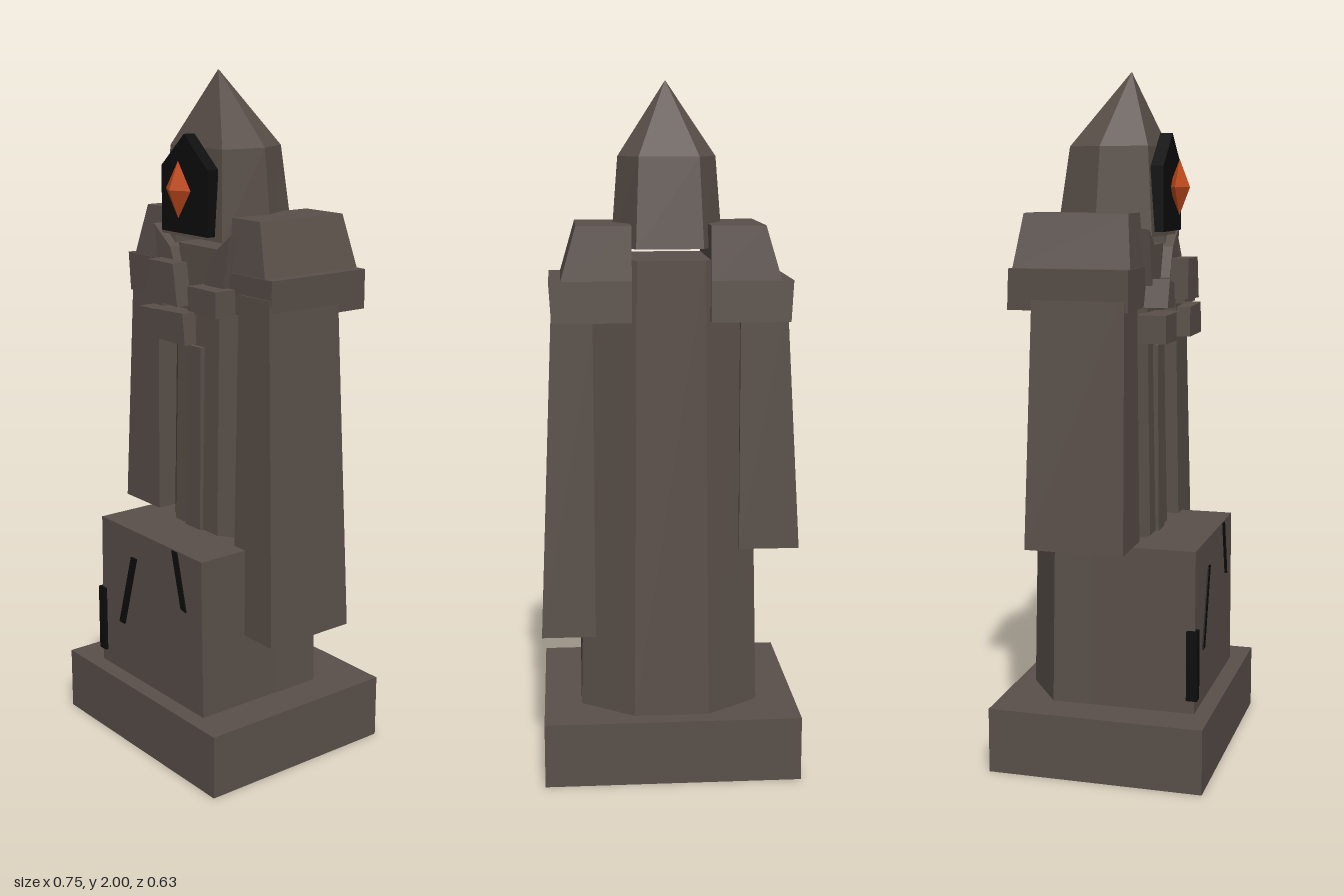
import * as THREE from 'three';

const mat = (name, color) => {
  const m = new THREE.MeshStandardMaterial({ color, flatShading: true });
  m.name = name;
  return m;
};

// Rectangle ring at height y, counter-clockwise seen from above
const rect = (y, x0, x1, z0, z1) => [[x1, y, z1], [x1, y, z0], [x0, y, z0], [x0, y, z1]];

// Octagon ring with flat front and back
const octagon = (y, rx, rz, cz) => Array.from({ length: 8 }, (_, i) => {
  const a = (i + 0.5) * Math.PI / 4, k = 1 / Math.cos(Math.PI / 8);
  return [Math.cos(a) * rx * k, y, cz - Math.sin(a) * rz * k];
});

// Capped solid through a stack of rings, bottom to top
function loft(rings) {
  const out = [], n = rings[0].length, tri = (...p) => p.forEach(q => out.push(...q));
  for (let r = 0; r < rings.length - 1; r++) {
    for (let i = 0; i < n; i++) {
      const j = (i + 1) % n, lo = rings[r], hi = rings[r + 1];
      tri(lo[i], lo[j], hi[j]);
      tri(lo[i], hi[j], hi[i]);
    }
  }
  const bottom = rings[0], top = rings[rings.length - 1];
  for (let i = 1; i < n - 1; i++) {
    tri(bottom[0], bottom[i + 1], bottom[i]);
    tri(top[0], top[i], top[i + 1]);
  }
  const g = new THREE.BufferGeometry();
  g.setAttribute('position', new THREE.Float32BufferAttribute(out, 3));
  g.computeVertexNormals();
  return g;
}

// Front-facing outline extruded from z0 to z1
function plate(points, z0, z1) {
  const shape = new THREE.Shape(points.map(p => new THREE.Vector2(...p)));
  return new THREE.ExtrudeGeometry(shape, { depth: z1 - z0, bevelEnabled: false }).translate(0, 0, z0);
}

export function createModel() {
  const group = new THREE.Group();
  const stone = mat('stone', 0x5a504a);
  const black = mat('black', 0x0d0d0d);
  const ember = mat('ember', 0xc44c1d);
  const add = (name, geometry, material = stone) => {
    const m = new THREE.Mesh(geometry, material);
    m.name = name;
    group.add(m);
    return m;
  };

  // Plinth, front block and robed body
  add('plinth', loft([rect(0, -0.375, 0.37, -0.315, 0.315), rect(0.19, -0.375, 0.37, -0.315, 0.315)]));
  add('frontBlock', loft([rect(0.19, -0.26, 0.257, -0.035, 0.266), rect(0.665, -0.253, 0.25, -0.035, 0.266)]));
  add('body', loft([octagon(0.19, 0.26, 0.183, -0.08), octagon(1.51, 0.23, 0.158, -0.078)]));
  add('frontStrip', loft([rect(0.66, -0.04, 0.032, 0.05, 0.105), rect(1.22, -0.04, 0.032, 0.05, 0.1)]));

  // Hanging sleeves of unequal length
  add('shortSleeve', loft([rect(0.67, -0.375, -0.2, -0.2, 0.088), rect(1.4, -0.333, -0.2, -0.185, 0.08)]));
  add('longSleeve', loft([rect(0.405, 0.2, 0.375, -0.18, 0.112), rect(1.4, 0.2, 0.333, -0.155, 0.095)]));

  // Shoulders: a band with a sloped cap above
  for (const s of [-1, 1]) {
    const span = (y, a, b, z0, z1) => rect(y, Math.min(s * a, s * b), Math.max(s * a, s * b), z0, z1);
    add('shoulderBand', loft([span(1.34, 0.11, 0.333, -0.257, 0.09), span(1.455, 0.11, 0.34, -0.25, 0.092)]));
    add('shoulderCap', loft([span(1.45, 0.11, 0.308, -0.25, 0.09), span(1.605, 0.11, 0.263, -0.23, 0.072)]));

    // Collar flap
    const flap = [[0.18, 1.56], [0.1, 1.5], [0.06, 1.4], [0.15, 1.4]].map(([x, y]) => [s * x, y]);
    add('collarFlap', plate(flap, 0.07, 0.11));
  }

  // Broken chest blocks
  add('chestTop', plate([[-0.085, 1.36], [0.055, 1.355], [0.035, 1.475], [-0.085, 1.475]], 0.15, 0.2));
  add('chestMiddle', plate([[-0.06, 1.25], [0.09, 1.25], [0.08, 1.34], [-0.055, 1.335]], 0.16, 0.2));
  add('chestLow', plate([[-0.185, 1.24], [-0.01, 1.235], [-0.01, 1.32], [-0.185, 1.32]], 0.07, 0.16));
  add('chestRight', plate([[-0.165, 1.34], [-0.07, 1.335], [-0.07, 1.4], [-0.14, 1.42]], 0.07, 0.16));
  add('chestLeft', plate([[0.05, 1.335], [0.18, 1.335], [0.18, 1.41], [0.05, 1.41]], 0.07, 0.16));

  // Pointed six-sided hood
  const hoodRing = (y, f, fz, w, wz, b, bz) =>
    [[f, y, fz], [w, y, wz], [b, y, bz], [-b, y, bz], [-w, y, wz], [-f, y, fz]];
  add('hood', loft([
    hoodRing(1.537, 0.143, 0.108, 0.16, -0.055, 0.095, -0.187),
    hoodRing(1.79, 0.12, 0.09, 0.14, -0.045, 0.085, -0.15),
    hoodRing(2, 0.001, 0.011, 0.001, 0.01, 0.001, 0.009),
  ]));

  // Dark face opening and glowing gem
  add('faceOpening', plate([[-0.108, 1.55], [0.108, 1.55], [0.108, 1.735], [0, 1.828], [-0.108, 1.735]], 0.095, 0.132), black);
  const gem = add('gem', new THREE.OctahedronGeometry(1), ember);
  gem.scale.set(0.058, 0.08, 0.031);
  gem.position.set(0, 1.675, 0.153);

  // Cracks in the front block
  add('crack', plate([[-0.163, 0.35], [-0.135, 0.35], [-0.067, 0.58], [-0.095, 0.58]], 0.262, 0.27), black);
  add('crack', plate([[0.155, 0.495], [0.18, 0.49], [0.137, 0.662], [0.112, 0.662]], 0.262, 0.27), black);
  add('cornerCrack', loft([rect(0.23, -0.267, -0.235, 0.243, 0.275), rect(0.435, -0.267, -0.235, 0.243, 0.275)]), black);

  return group;
}
